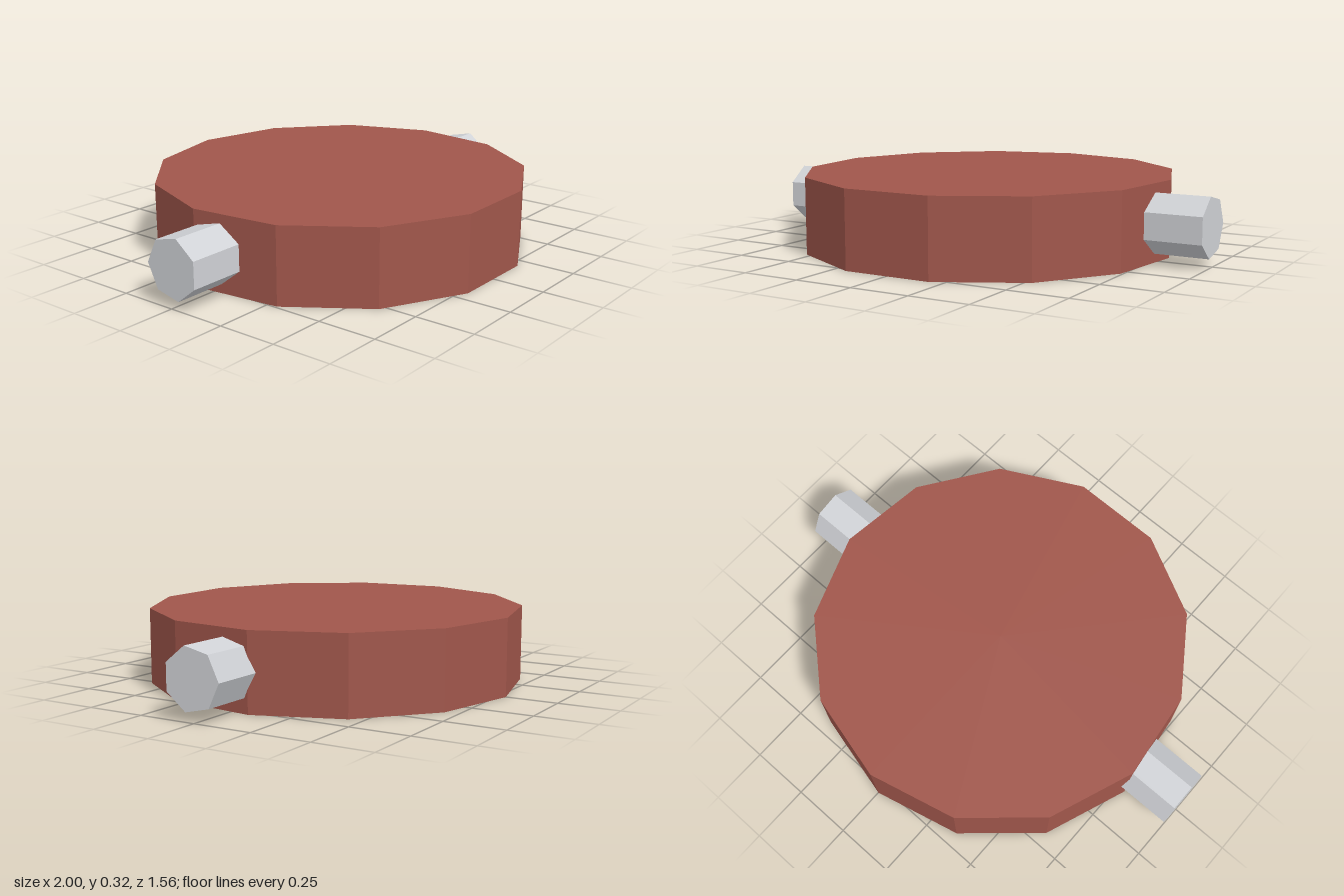
import * as THREE from 'three';

export function createModel() {
  const group = new THREE.Group();

  const brick = new THREE.MeshStandardMaterial({ color: 0xa0564b, flatShading: true });
  brick.name = 'brick red';
  const steel = new THREE.MeshStandardMaterial({ color: 0xd0d2d6, flatShading: true });
  steel.name = 'light steel';

  const height = 0.32;
  const centreZ = 0.01;

  // Upright prism with one corner pointing to the back
  const prism = (name, radius, length, sides, material) => {
    const geometry = new THREE.CylinderGeometry(radius, radius, length, sides, 1, false, Math.PI);
    const mesh = new THREE.Mesh(geometry, material);
    mesh.name = name;
    mesh.position.set(0, height / 2, centreZ);
    group.add(mesh);
    return mesh;
  };

  // Thirteen-sided disc
  prism('disc', 0.793, height, 13, brick);

  // Seven-sided axle through the disc, sticking out at both sides
  prism('axle', 0.126, 2, 7, steel).rotation.z = Math.PI / 2;

  return group;
}
